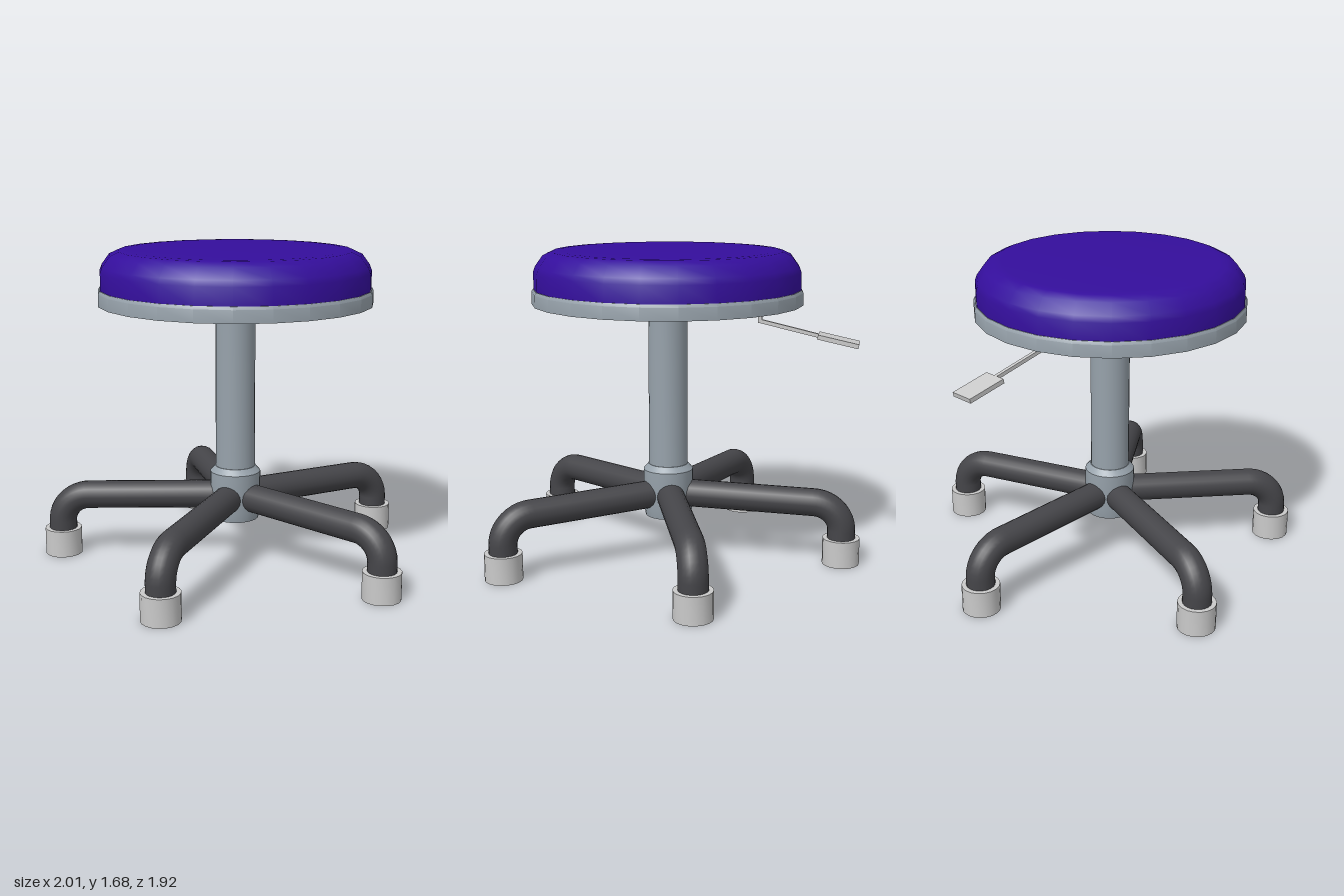
import * as THREE from 'three';
import { toCreasedNormals } from 'three/addons/utils/BufferGeometryUtils.js';

const material = (name, color) => new THREE.MeshStandardMaterial({ name, color });

export function createModel() {
  const purple = material('purple upholstery', 0x340e9c);
  const steel = material('blue grey steel', 0x97a2ab);
  const charcoal = material('charcoal tube', 0x454549);
  const silver = material('light grey', 0xcacaca);

  const stool = new THREE.Group();
  stool.name = 'stool';
  stool.position.z = 0.09; // the column stands slightly forward of the middle

  const add = (parent, name, geometry, mat) => {
    const mesh = new THREE.Mesh(geometry, mat);
    mesh.name = name;
    parent.add(mesh);
    return mesh;
  };
  const turned = (profile, sides, crease) => toCreasedNormals(
    new THREE.LatheGeometry(profile.map(([r, y]) => new THREE.Vector2(r, y)), sides), crease);

  // Seat: padded cushion on a round pan
  add(stool, 'cushion', turned([[0, 1.47], [0.708, 1.47], [0.708, 1.57], [0.697, 1.6],
    [0.657, 1.655], [0.61, 1.677], [0.57, 1.68], [0, 1.68]], 24, 0.9), purple);
  add(stool, 'seatPan', turned([[0, 1.4], [0.72, 1.4], [0.72, 1.465], [0.712, 1.48],
    [0, 1.48]], 24, 0.5), steel);

  // Column and the hub that holds the legs
  add(stool, 'column', turned([[0.105, 0.48], [0.105, 1.41]], 24, 0.5), steel);
  add(stool, 'hub', turned([[0, 0.23], [0.125, 0.23], [0.135, 0.285], [0.135, 0.49],
    [0.108, 0.52], [0, 0.52]], 24, 0.5), steel);

  // Five bent legs, each ending in a round foot
  const reach = 0.95;
  const path = new THREE.CurvePath();
  const inner = new THREE.Vector3(0, 0.357, 0);
  const bendStart = new THREE.Vector3(0, 0.335, -reach + 0.15);
  const corner = new THREE.Vector3(0, 0.331, -reach);
  const bendEnd = new THREE.Vector3(0, 0.19, -reach);
  const k = 0.55;
  path.add(new THREE.LineCurve3(inner, bendStart));
  path.add(new THREE.CubicBezierCurve3(bendStart, bendStart.clone().lerp(corner, k),
    bendEnd.clone().lerp(corner, k), bendEnd));
  path.add(new THREE.LineCurve3(bendEnd, new THREE.Vector3(0, 0.1, -reach)));
  const tube = new THREE.TubeGeometry(path, 48, 0.075, 20, false);
  const footShape = turned([[0, 0], [0.1, 0], [0.1, 0.145], [0, 0.145]], 18, 0.6);
  for (let i = 0; i < 5; i++) {
    const leg = new THREE.Group();
    leg.name = `leg${i + 1}`;
    leg.rotation.y = (i * Math.PI * 2) / 5;
    add(leg, 'legTube', tube, charcoal);
    add(leg, 'foot', footShape, silver).position.z = -reach;
    stool.add(leg);
  }

  // Height lever: bent rod with a flat paddle
  const lever = new THREE.Group();
  lever.name = 'heightLever';
  const bar = (name, from, to, width, height) => {
    const a = new THREE.Vector3(0, ...from);
    const b = new THREE.Vector3(0, ...to);
    const mesh = add(lever, name, new THREE.BoxGeometry(width, height, a.distanceTo(b)), silver);
    mesh.position.copy(a).add(b).multiplyScalar(0.5);
    mesh.rotation.x = Math.atan2(a.y - b.y, b.z - a.z);
  };
  bar('leverDrop', [1.41, -0.495], [1.305, -0.495], 0.02, 0.02);
  bar('leverRod', [1.315, -0.488], [1.24, -0.82], 0.02, 0.02);
  bar('leverPaddle', [1.245, -0.802], [1.2, -1.015], 0.128, 0.024);
  stool.add(lever);

  const model = new THREE.Group();
  model.name = 'swivelStool';
  model.add(stool);
  return model;
}
